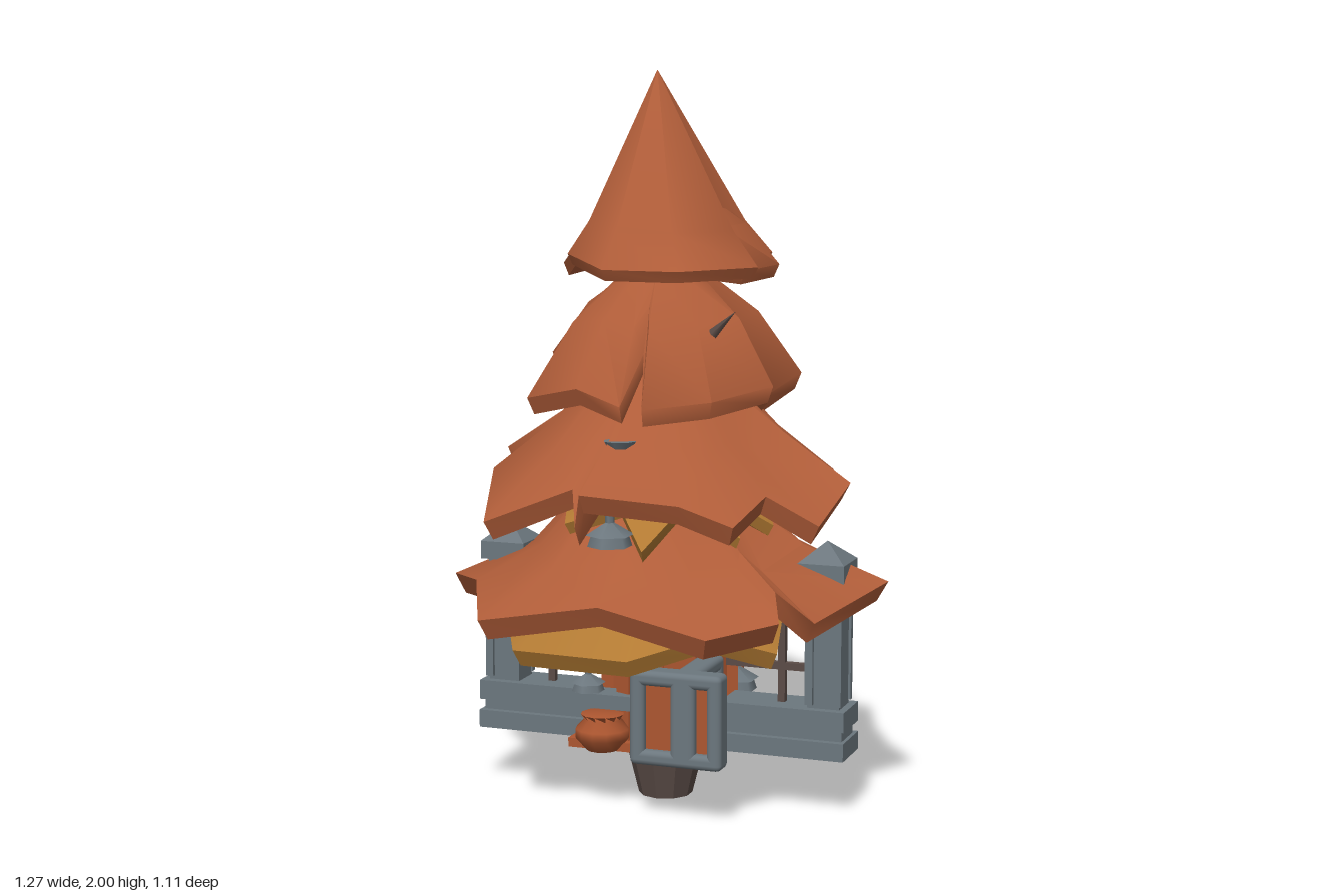
import * as THREE from 'three';
import { toCreasedNormals } from 'three/addons/utils/BufferGeometryUtils.js';
import { RoundedBoxGeometry } from 'three/addons/geometries/RoundedBoxGeometry.js';

const mat = (name, color, side = THREE.FrontSide) => {
  const m = new THREE.MeshStandardMaterial({ color, side });
  m.name = name;
  return m;
};

export function createModel() {
  const leaf = mat('rust foliage', 0xb05d39, THREE.DoubleSide);
  const gold = mat('golden foliage', 0xb27a33, THREE.DoubleSide);
  const stone = mat('grey stone', 0x6c777e);
  const bark = mat('dark bark', 0x5b4c47);
  const wood = mat('orange wood', 0xac5630);
  const model = new THREE.Group();

  const add = (name, geo, material, x = 0, y = 0, z = 0, parent = model) => {
    const mesh = new THREE.Mesh(geo, material);
    mesh.name = name;
    mesh.position.set(x, y, z);
    parent.add(mesh);
    return mesh;
  };
  // box given by its limits on each axis
  const box = (name, m, x0, x1, y0, y1, z0, z1, parent = model) =>
    add(name, new THREE.BoxGeometry(x1 - x0, y1 - y0, z1 - z0), m,
      (x0 + x1) / 2, (y0 + y1) / 2, (z0 + z1) / 2, parent);

  // drooping skirt: rings lofted from a top collar to a jagged rim and back underneath
  const skirt = (name, material, { top, r, f, g, thick, centre = [0, 0] }, rim) => {
    const [cx, cz] = centre;
    const collar = rim.map(([x, , z]) => {
      const a = Math.atan2(z, x);
      return [cx + r * Math.cos(a), top, cz + r * Math.sin(a)];
    });
    const mix = (a, b, t, ty = t) => [a[0] + (b[0] - a[0]) * t, a[1] + (b[1] - a[1]) * ty, a[2] + (b[2] - a[2]) * t];
    const rings = [
      collar,
      rim.map((p, i) => mix(collar[i], p, f, g)),
      rim,
      rim.map(([x, y, z]) => [x * 0.95, y - thick, z * 0.95]),
      rim.map(([x, y, z], i) => mix([x, y - thick, z], collar[i], 0.85, 0.4)),
    ];
    const n = rim.length, pos = [], idx = [];
    rings.forEach(ring => ring.forEach(p => pos.push(...p)));
    for (let i = 0; i < rings.length - 1; i++) {
      for (let j = 0; j < n; j++) {
        const a = i * n + j, b = i * n + (j + 1) % n;
        idx.push(a, b, a + n, b, b + n, a + n);
      }
    }
    const geo = new THREE.BufferGeometry();
    geo.setAttribute('position', new THREE.Float32BufferAttribute(pos, 3));
    geo.setIndex(idx);
    add(name, toCreasedNormals(geo, 0.9), material);
  };

  // rust foliage, bottom to top; rim points are x, y, z
  skirt('lowestFoliage', leaf, { top: 0.9, r: 0.2, f: 0.45, g: 0.66, thick: 0.055 }, [
    [-0.635, 0.58, 0.01], [-0.45, 0.63, -0.26], [-0.32, 0.59, -0.555], [0, 0.64, -0.54],
    [0.31, 0.57, -0.555], [0.45, 0.63, -0.26], [0.635, 0.645, 0], [0.49, 0.56, 0.2],
    [0.4, 0.65, 0.26], [0.43, 0.58, 0.32],
    [0.3, 0.57, 0.525], [0, 0.63, 0.51], [-0.32, 0.58, 0.55], [-0.46, 0.62, 0.25]]);
  skirt('lowerFoliage', leaf, { top: 1.2, r: 0.16, f: 0.5, g: 0.56, thick: 0.05 }, [
    [-0.4, 0.9, -0.04], [-0.53, 0.93, -0.13], [-0.41, 0.86, -0.2], [-0.34, 0.94, -0.23], [-0.2, 0.85, -0.51],
    [0.07, 0.91, -0.44], [0.29, 0.81, -0.47], [0.24, 0.97, -0.28], [0.37, 0.88, -0.37],
    [0.46, 0.91, -0.1], [0.55, 0.92, 0.08], [0.5, 0.82, 0.2], [0.37, 0.9, 0.25],
    [0.33, 0.84, 0.4], [0.19, 0.89, 0.42], [-0.05, 0.92, 0.51], [-0.07, 0.83, 0.49],
    [-0.1, 0.92, 0.43], [-0.35, 0.82, 0.44], [-0.44, 0.92, 0.17]]);
  skirt('upperFoliage', leaf, { top: 1.46, r: 0.11, f: 0.55, g: 0.4, thick: 0.045 }, [
    [-0.385, 1.21, -0.12], [-0.26, 1.15, -0.2], [-0.12, 1.21, -0.37], [0.04, 1.14, -0.31],
    [0.2, 1.16, -0.29], [0.23, 1.25, -0.19], [0.32, 1.17, -0.22], [0.27, 1.12, -0.04],
    [0.34, 1.17, 0.1], [0.22, 1.14, 0.25], [0.05, 1.12, 0.32], [0.03, 1.26, 0.25],
    [0, 1.13, 0.35], [-0.13, 1.17, 0.33], [-0.3, 1.13, 0.26], [-0.28, 1.22, 0.1]]);
  skirt('topUnderFoliage', leaf, { top: 1.7, r: 0.08, f: 0.6, g: 0.5, thick: 0.035 }, [
    [-0.32, 1.47, -0.05], [-0.18, 1.51, -0.17], [0.02, 1.48, -0.26], [0.26, 1.47, -0.2],
    [0.25, 1.47, 0.07], [0.12, 1.5, 0.22], [-0.12, 1.49, 0.22], [-0.23, 1.52, 0.1]]);
  skirt('topFoliage', leaf, { top: 2, r: 0, f: 0.76, g: 0.82, thick: 0.03, centre: [-0.035, -0.03] }, [
    [-0.25, 1.5, -0.09], [-0.13, 1.5, -0.27], [0.04, 1.48, -0.23], [0.23, 1.5, -0.23],
    [0.22, 1.5, -0.05], [0.28, 1.48, 0.05], [0.13, 1.48, 0.27], [-0.08, 1.48, 0.27],
    [-0.23, 1.51, 0.14]]);

  // golden layers between the rust ones
  skirt('lowGoldenFoliage', gold, { top: 0.66, r: 0.18, f: 0.5, g: 0.5, thick: 0.045 }, [
    [-0.45, 0.53, 0.08], [-0.32, 0.54, -0.22], [-0.03, 0.55, -0.32], [0.27, 0.54, -0.27],
    [0.35, 0.54, 0.03], [0.4, 0.48, 0.24], [0.24, 0.53, 0.32], [0.06, 0.48, 0.46], [-0.27, 0.48, 0.44]]);
  skirt('middleGoldenFoliage', gold, { top: 0.93, r: 0.12, f: 0.5, g: 0.5, thick: 0.03 }, [
    [-0.27, 0.83, 0.02], [-0.17, 0.86, -0.2], [0.08, 0.85, -0.26], [0.24, 0.86, -0.13],
    [0.35, 0.8, 0.12], [0.24, 0.87, 0.17], [0.31, 0.79, 0.28], [0.14, 0.86, 0.24], [0.08, 0.76, 0.4],
    [-0.03, 0.85, 0.27], [-0.16, 0.81, 0.34], [-0.22, 0.85, 0.17]]);

  // trunk
  const stump = new THREE.CylinderGeometry(0.115, 0.075, 0.16, 10).toNonIndexed();
  stump.computeVertexNormals();
  add('trunkFoot', stump, bark, 0, 0.08, 0);

  // timber hut round the trunk
  box('hutFloor', wood, -0.22, 0.17, 0.155, 0.18, -0.25, 0.18);
  const wall = new THREE.CylinderGeometry(0.17, 0.17, 0.42, 8).toNonIndexed();
  wall.computeVertexNormals();
  add('hutWall', wall, wood, 0, 0.38, -0.03);
  add('hutCeiling', new THREE.ConeGeometry(0.27, 0.09, 8), wood, 0, 0.575, 0);
  for (let i = 0; i < 8; i++) {
    const a = (i + 0.5) * Math.PI / 4;
    const rib = add('hutRib', new THREE.BoxGeometry(0.045, 0.4, 0.04), wood,
      0.17 * Math.sin(a), 0.37, -0.03 + 0.17 * Math.cos(a));
    rib.rotation.y = a;
  }

  // stacked plank boxes at the back
  const crates = new THREE.Group();
  crates.name = 'backCrates';
  model.add(crates);
  box('lowerCrate', wood, -0.22, 0.13, 0.155, 0.31, -0.25, -0.16, crates);
  for (const y of [0.16, 0.24]) box('lowerPlank', wood, -0.23, 0.14, y, y + 0.07, -0.268, -0.25, crates);
  box('upperCrate', wood, -0.29, 0.09, 0.32, 0.46, -0.28, -0.16, crates);
  for (const y of [0.32, 0.395]) box('upperPlank', wood, -0.295, 0.095, y, y + 0.065, -0.3, -0.28, crates);

  // stone wings with posts, caps and thin railings, mirrored left and right
  for (const s of [1, -1]) {
    const wing = new THREE.Group();
    wing.name = s > 0 ? 'leftWing' : 'rightWing';
    model.add(wing);
    const sbox = (name, m, x0, x1, ...rest) =>
      box(name, m, Math.min(s * x0, s * x1), Math.max(s * x0, s * x1), ...rest, wing);
    sbox('wingBase', stone, 0.18, 0.535, 0.155, 0.205, -0.075, 0.075);
    sbox('wingCourse', stone, 0.18, 0.525, 0.205, 0.235, -0.055, 0.055);
    sbox('wingLedge', stone, 0.18, 0.535, 0.235, 0.29, -0.07, 0.07);
    sbox('wingFoot', stone, 0.16, 0.24, 0.155, 0.195, -0.13, -0.06);
    sbox('post', stone, 0.425, 0.515, 0.29, 0.66, -0.045, 0.045);
    for (const e of [-1, 1]) {
      for (const x of [0.42, 0.5]) sbox('postEdge', stone, x, x + 0.022, 0.3, 0.62, e * 0.048 - 0.008, e * 0.048 + 0.008);
    }
    sbox('capSlab', stone, 0.4, 0.53, 0.64, 0.69, -0.065, 0.065);
    const cap = new THREE.ConeGeometry(0.092, 0.055, 4, 1).rotateY(Math.PI / 4).toNonIndexed();
    cap.computeVertexNormals();
    add('capPyramid', cap, stone, s * 0.465, 0.7175, 0, wing);
    sbox('rail', bark, 0.18, 0.43, 0.38, 0.4, -0.01, 0.01);
    sbox('baluster', bark, 0.33, 0.35, 0.29, 0.52, -0.01, 0.01);
  }

  // two framed panels meeting at a corner: one faces the front, one the side
  const flatBar = new RoundedBoxGeometry(0.26, 0.042, 0.07, 2, 0.016);
  const framedPanel = (name, x, y, z, turn) => {
    const frame = new THREE.Group();
    frame.name = name;
    frame.position.set(x, y, z);
    frame.rotation.y = turn;
    model.add(frame);
    for (const u of [-0.109, 0.109]) {
      add('frameBar', flatBar, stone, 0, u, 0, frame);
      add('frameBar', flatBar, stone, u, 0, 0, frame).rotation.z = Math.PI / 2;
    }
    box('panel', wood, -0.09, 0.09, -0.09, 0.09, -0.012, 0.012, frame);
  };
  framedPanel('frontFrame', 0.13, 0.285, 0.255, 0);
  framedPanel('sideFrame', 0.15, 0.285, 0.16, Math.PI / 2);

  // jar beside the frames
  const jar = [[0, 0], [0.045, 0], [0.075, 0.035], [0.075, 0.06], [0.05, 0.085], [0.06, 0.1], [0, 0.1]];
  add('jar', new THREE.LatheGeometry(jar.map(p => new THREE.Vector2(...p)), 12), wood, -0.12, 0.157, 0.175);

  // small hanging lanterns
  const lantern = (x, y, z, k) => {
    const g = new THREE.Group();
    g.name = 'lantern';
    g.position.set(x, y, z);
    g.scale.setScalar(k);
    model.add(g);
    add('lanternBody', new THREE.CylinderGeometry(0.05, 0.06, 0.03, 6), stone, 0, 0, 0, g);
    add('lanternRoof', new THREE.ConeGeometry(0.065, 0.04, 6), stone, 0, 0.035, 0, g);
    add('lanternHook', new THREE.CylinderGeometry(0.012, 0.012, 0.05, 6), stone, 0, 0.07, 0, g);
  };
  lantern(-0.02, 0.78, 0.37, 1);
  lantern(-0.16, 0.33, 0.18, 0.75);
  lantern(0.14, 0.28, -0.18, 1.1);
  box('stoneShelf', stone, -0.2, 0, 0.27, 0.31, 0.1, 0.18);
  add('stoneStud', new THREE.CylinderGeometry(0.045, 0.03, 0.025, 8), stone, -0.01, 1.025, 0.32);

  // twigs poking out of the foliage
  for (const [x, y, z, turn] of [[0.22, 1.34, 0.15, -0.8], [-0.3, 1.1, -0.18, 0.9]]) {
    add('twig', new THREE.ConeGeometry(0.015, 0.09, 5), bark, x, y, z).rotation.z = turn;
  }
  return model;
}
